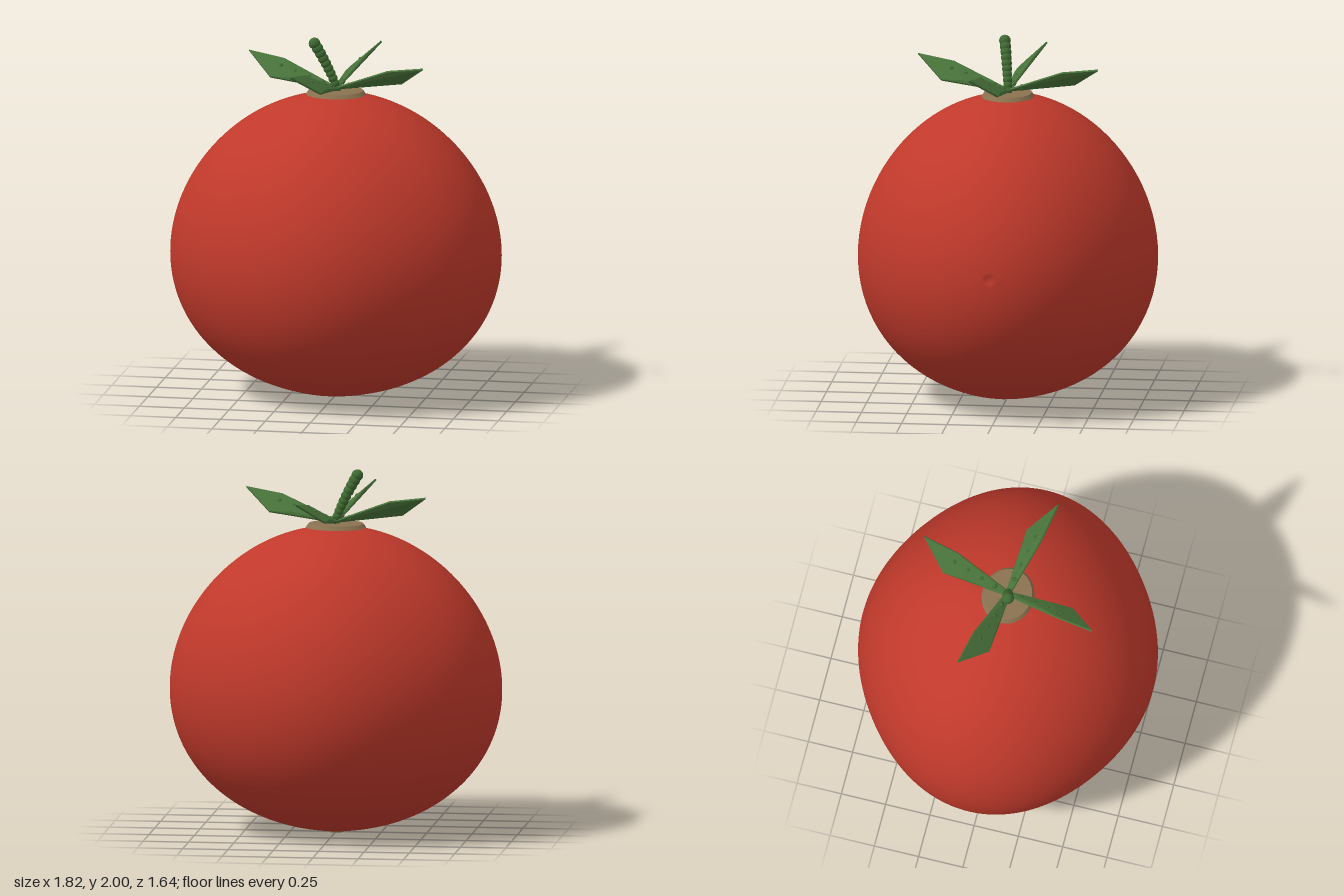
import * as THREE from 'three';
import { mergeVertices } from 'three/addons/utils/BufferGeometryUtils.js';
import { ConvexGeometry } from 'three/addons/geometries/ConvexGeometry.js';

const mat = (name, color) => {
  const m = new THREE.MeshStandardMaterial({ color });
  m.name = name;
  return m;
};

// Egg-shaped fruit with a softly lemon-shaped plan and a small dimple on its left
function bodyGeometry() {
  let g = new THREE.SphereGeometry(1, 96, 128);
  g.rotateZ(-Math.PI / 2);
  const p = g.attributes.position;
  for (let i = 0; i < p.count; i++) {
    const x = p.getX(i), y = p.getY(i), z = p.getZ(i);
    const a = Math.atan2(z, x);
    const r = (0.85 + 0.045 * Math.cos(2 * a) + 0.015 * Math.cos(4 * a)) * (1 - 0.07 * y);
    const dimple = x > 0.9999 ? 0.02 : 0;
    p.setXYZ(i, x * r - dimple, 0.85 + 0.84 * y, z * r);
  }
  g.deleteAttribute('uv');
  g.deleteAttribute('normal');
  g = mergeVertices(g, 1e-4);
  g.computeVertexNormals();
  return g;
}

// Thin pointed sepal, twisted so that one edge sits higher
function leafGeometry() {
  const outline = [
    [0, 0, -0.012], [0.25, 0.05, 0.01], [0.37, 0.05, 0.015], [0.515, 0.165, 0.155],
    [0.31, 0.135, 0.115], [0.18, 0.075, 0.055], [0, 0.01, 0.012],
  ].map((v) => new THREE.Vector3(...v));
  const n = new THREE.Vector3(-0.07, 0.74, -0.67).normalize().multiplyScalar(0.005);
  return new ConvexGeometry(outline.flatMap((v) => [v.clone().add(n), v.clone().sub(n)]));
}

export function createModel() {
  const red = mat('fruitRed', 0xc0392b);
  const leafGreen = mat('leafGreen', 0x48723a);
  const stemGreen = mat('stemGreen', 0x3f6a32);
  const brown = mat('scarBrown', 0x8b7350);

  const model = new THREE.Group();
  model.name = 'tomato';
  const add = (parent, name, geometry, material, x = 0, y = 0, z = 0) => {
    const m = new THREE.Mesh(geometry, material);
    m.name = name;
    m.position.set(x, y, z);
    parent.add(m);
    return m;
  };

  add(model, 'fruitBody', bodyGeometry(), red);

  // Scars at the top and the bottom
  add(model, 'topScar', new THREE.CylinderGeometry(0.15, 0.165, 0.022, 40), brown, 0, 1.694, 0)
    .scale.set(1, 1, 0.87);
  add(model, 'bottomScar', new THREE.CylinderGeometry(0.05, 0.045, 0.016, 24), brown, 0, 0.008, 0);

  // Four sepals, each with a row of small bumps
  const leaf = leafGeometry();
  for (let k = 0; k < 4; k++) {
    const sepal = new THREE.Group();
    sepal.name = 'sepal' + (k + 1);
    sepal.position.y = 1.71;
    sepal.rotation.y = k * Math.PI / 2;
    add(sepal, 'leaf', leaf, leafGreen);
    for (let i = 1; i <= 4; i++) {
      const x = 0.08 * i;
      add(sepal, 'leafBump', new THREE.SphereGeometry(0.019 - 0.0015 * i, 14, 10),
        stemGreen, x, 0.31 * x + 0.003, 0.24 * x);
    }
    model.add(sepal);
  }

  // Beaded stem, leaning to the right and slightly forward
  const path = new THREE.QuadraticBezierCurve3(
    new THREE.Vector3(0.005, 1.715, 0), new THREE.Vector3(-0.04, 1.84, 0.008),
    new THREE.Vector3(-0.114, 1.968, 0.03));
  const stem = new THREE.Group();
  stem.name = 'stem';
  for (let i = 0; i < 10; i++) {
    const c = path.getPoint(i / 9);
    add(stem, 'stemBead', new THREE.SphereGeometry(0.024 + 0.0009 * i, 20, 14), stemGreen, c.x, c.y, c.z);
  }
  model.add(stem);

  return model;
}
